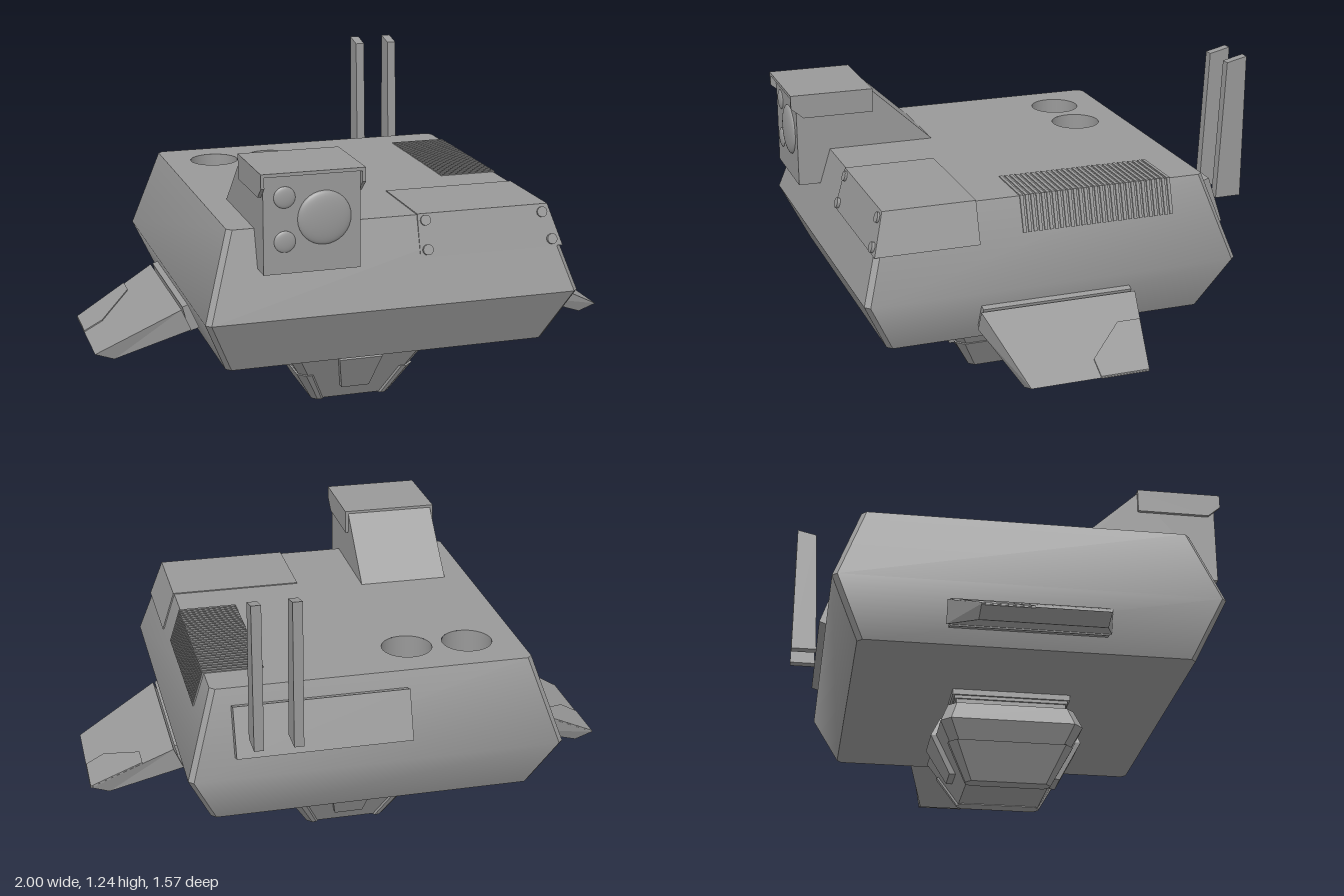
import * as THREE from 'three';

const grey = new THREE.MeshStandardMaterial({ color: 0x999999 });
grey.name = 'hull grey';

// Rectangular ring at height y, counter-clockwise from above, with optional cut corners
function rect(x0, x1, z0, z1, y, c = 0) {
  if (!c) return [[x0, y, z1], [x1, y, z1], [x1, y, z0], [x0, y, z0]];
  return [
    [x0 + c, y, z1], [x1 - c, y, z1], [x1, y, z1 - c], [x1, y, z0 + c],
    [x1 - c, y, z0], [x0 + c, y, z0], [x0, y, z0 + c], [x0, y, z1 - c],
  ];
}

const mirror = (ring) => ring.map(([x, y, z]) => [-x, y, z]).reverse();

// Skin over rings stacked upwards; columns listed in smooth are shaded as one curve
function loft(rings, { smooth = [], top = true } = {}) {
  const pos = [], nor = [];
  const n = rings[0].length;
  const add = (verts, index, soft) => {
    let g = new THREE.BufferGeometry();
    g.setAttribute('position', new THREE.Float32BufferAttribute(verts.flat(), 3));
    g.setIndex(index);
    if (soft) g.computeVertexNormals();
    g = g.toNonIndexed();
    if (!soft) g.computeVertexNormals();
    for (const v of g.attributes.position.array) pos.push(v);
    for (const v of g.attributes.normal.array) nor.push(v);
  };
  for (let i = 0; i < n; i++) {
    const verts = [], index = [];
    rings.forEach((r, k) => {
      verts.push(r[i], r[(i + 1) % n]);
      if (k) {
        const a = 2 * k - 2;
        index.push(a, a + 1, a + 3, a, a + 3, a + 2);
      }
    });
    add(verts, index, smooth.includes(i));
  }
  const fan = [];
  for (let i = 1; i < n - 1; i++) fan.push(0, i, i + 1);
  add([...rings[0]].reverse(), fan, false);
  if (top) add(rings[rings.length - 1], fan, false);
  const geo = new THREE.BufferGeometry();
  geo.setAttribute('position', new THREE.Float32BufferAttribute(pos, 3));
  geo.setAttribute('normal', new THREE.Float32BufferAttribute(nor, 3));
  return geo;
}

const shapeOf = (pts) => new THREE.Shape(pts.map(([a, b]) => new THREE.Vector2(a, b)));

// Side profile of [z, y] points pushed from x0 to x1
function extrudeX(profile, x0, x1) {
  const g = new THREE.ExtrudeGeometry(shapeOf(profile), { depth: x1 - x0, bevelEnabled: false });
  return g.rotateY(-Math.PI / 2).translate(x1, 0, 0);
}

export function createModel() {
  const model = new THREE.Group();
  model.name = 'turretDrone';
  const add = (name, geo, parent = model) => {
    const m = new THREE.Mesh(geo, grey);
    m.name = name;
    parent.add(m);
    return m;
  };
  const group = (name) => {
    const g = new THREE.Group();
    g.name = name;
    model.add(g);
    return g;
  };

  // Hull: faceted front, softly shaded sides and back
  const topY = 0.845;
  const topRing = rect(-0.59, 0.59, -0.57, 0.64, topY, 0.018);
  add('hull', loft([
    rect(-0.6, 0.6, -0.57, 0.637, 0.333, 0.018),
    rect(-0.69, 0.69, -0.67, 0.737, 0.537, 0.018),
    topRing,
  ], { smooth: [2, 4, 6], top: false }));

  // Deck with two round wells
  const deck = shapeOf(topRing.map(([x, , z]) => [x, -z]));
  const wells = group('deckWells');
  for (const x of [-0.4, -0.17]) {
    const z = -0.375, r = 0.093, depth = 0.1;
    deck.holes.push(new THREE.Path().absarc(x, -z, r, 0, Math.PI * 2, true));
    const wall = [new THREE.Vector2(r, 0), new THREE.Vector2(r, -depth)];
    add('wellWall', new THREE.LatheGeometry(wall, 40).translate(x, topY, z), wells);
    add('wellFloor', new THREE.CircleGeometry(r, 40).rotateX(-Math.PI / 2)
      .translate(x, topY - depth, z), wells);
  }
  add('deck', new THREE.ShapeGeometry(deck, 24).rotateX(-Math.PI / 2).translate(0, topY, 0));

  // Corner hatch with bolts on the sloping front
  add('cornerHatch', loft([
    rect(0.097, 0.642, 0.305, 0.688, 0.7),
    rect(0.097, 0.594, 0.305, 0.645, 0.849),
  ]));
  const bolts = group('hatchBolts');
  for (const [x, y] of [[0.125, 0.825], [0.125, 0.725], [0.57, 0.82], [0.6, 0.725]]) {
    const bolt = add('bolt', new THREE.CylinderGeometry(0.019, 0.019, 0.02, 16), bolts);
    bolt.rotation.x = Math.PI / 2 - Math.atan(0.32);
    bolt.position.set(x, y, 0.69 - (y - 0.7) * 0.32);
  }

  // Slatted vent folding over the left deck edge
  const vent = group('vent');
  const slat = shapeOf([[0.375, 0.82], [0.565, 0.82], [0.6, 0.722], [0.635, 0.722],
    [0.595, 0.849], [0.375, 0.849]]);
  for (let i = 0; i < 29; i++) {
    add('slat', new THREE.ExtrudeGeometry(slat, { depth: 0.012, bevelEnabled: false })
      .translate(0, 0, -0.435 + i * 0.0202), vent);
  }

  // Sensor housing with hood and three lenses
  const sensor = group('sensorHousing');
  add('housing', extrudeX([[0.765, 0.712], [0.765, 1.06], [0.47, 1.06], [0.235, 0.845],
    [0.235, 0.8], [0.6, 0.712]], -0.495, -0.152), sensor);
  add('hoodRoof', extrudeX([[0.787, 1.058], [0.787, 1.07], [0.47, 1.07], [0.47, 1.058]],
    -0.507, -0.14), sensor);
  const cheek = [[0.74, 0.98], [0.787, 1.02], [0.787, 1.058], [0.47, 1.058], [0.47, 0.98]];
  for (const x of [-0.507, -0.152]) add('hoodSide', extrudeX(cheek, x, x + 0.012), sensor);
  for (const [x, y, r] of [[-0.28, 0.9, 0.095], [-0.42, 0.98, 0.038], [-0.42, 0.825, 0.038]]) {
    const lens = new THREE.SphereGeometry(r, 32, 10, 0, Math.PI * 2, 0, Math.PI / 2);
    lens.rotateX(Math.PI / 2).scale(1, 1, 0.02 / r * (r > 0.05 ? 1 : 0.5));
    add('lens', lens.translate(x, y, 0.765), sensor);
  }

  // Back plate and twin antennas
  const plate = add('backPlate', new THREE.BoxGeometry(0.637, 0.185, 0.043));
  plate.position.set(0.203, 0.705, -0.64);
  plate.rotation.x = Math.atan(0.34);
  for (const x of [0.302, 0.442]) {
    add('antenna', extrudeX([[-0.685, 0.7], [-0.785, 0.7], [-0.785, 1.24], [-0.708, 1.222]],
      x, x + 0.035));
  }

  // Drooping fins, mirrored left and right
  const finTop = (x) => 0.465 - (x - 0.69) * 0.532;
  const finParts = {
    fin: [
      [[0.655, 0.385, 0.32], [0.93, 0.275, 0.247], [0.93, 0.275, -0.19], [0.655, 0.385, -0.267]],
      [[0.69, 0.465, 0.32], [1, 0.3, 0.247], [1, 0.3, -0.19], [0.69, 0.465, -0.267]],
    ],
    finRoot: [
      [[0.58, 0.4, 0.31], [0.66, 0.377, 0.31], [0.66, 0.377, -0.255], [0.58, 0.4, -0.255]],
      [[0.6, 0.5, 0.31], [0.685, 0.472, 0.31], [0.685, 0.472, -0.255], [0.6, 0.5, -0.255]],
    ],
    finTipPlate: [-0.004, 0.005].map((d) =>
      [[0.93, -0.01], [0.999, -0.01], [0.999, -0.19], [0.805, -0.237], [0.805, -0.15]]
        .map(([x, z]) => [x, finTop(x) + d, z])),
  };
  for (const [side, flip] of [['left', (r) => r], ['right', mirror]]) {
    const fin = group(side + 'Fin');
    for (const [name, rings] of Object.entries(finParts)) add(name, loft(rings.map(flip)), fin);
  }

  // Turret under the hull: stepped neck, head, centre panels and lower cheeks
  const turret = group('lowerTurret');
  const neck = [[0.205, 0.27, 0.3], [0.212, 0.3, 0.312], [0.22, 0.312, 0.335]];
  for (const [s, y0, y1] of neck) {
    add('neck', loft([y0, y1].map((y) => rect(-s, s, 0.03 - s, 0.03 + s, y))), turret);
  }
  add('head', loft([
    rect(-0.15, 0.15, -0.125, 0.18, 0.003, 0.02),
    rect(-0.265, 0.265, -0.235, 0.293, 0.2, 0.035),
    rect(-0.23, 0.23, -0.205, 0.265, 0.275, 0.03),
  ]), turret);
  add('centrePanels', loft([
    rect(-0.055, 0.055, -0.18, 0.237, 0.06),
    rect(-0.085, 0.085, -0.255, 0.313, 0.2),
    rect(-0.072, 0.072, -0.22, 0.28, 0.272),
  ]), turret);
  const lower = [rect(0.1, 0.156, -0.131, 0.186, 0, 0.02), rect(0.15, 0.232, -0.203, 0.26, 0.13, 0.03)];
  add('leftCheek', loft(lower), turret);
  add('rightCheek', loft(lower.map(mirror)), turret);

  return model;
}
